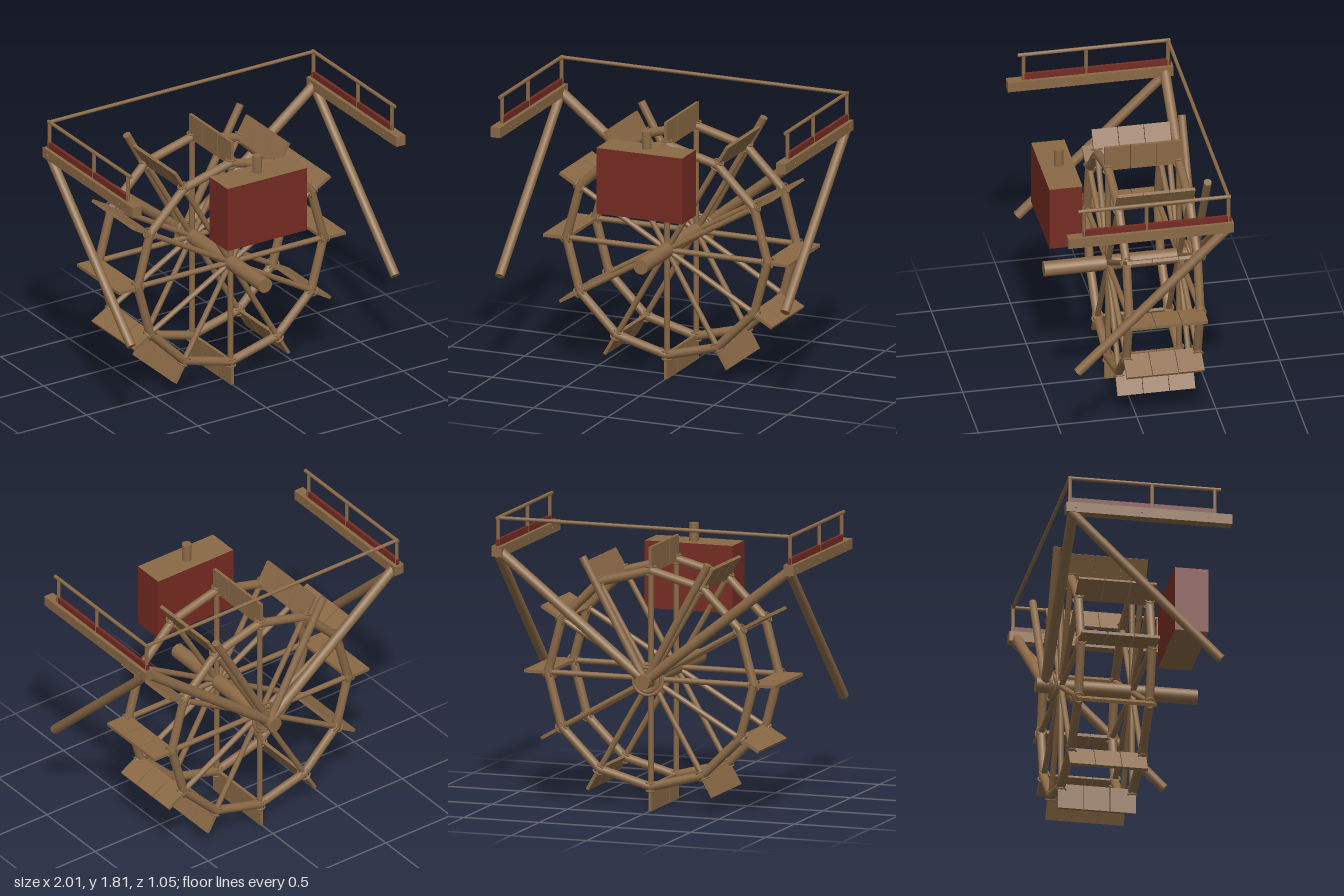
import * as THREE from 'three';

const wood = new THREE.MeshStandardMaterial({ color: 0x8a6946 });
wood.name = 'wood';
const red = new THREE.MeshStandardMaterial({ color: 0x752b22 });
red.name = 'redPaint';

const V = (x, y, z) => new THREE.Vector3(x, y, z);

function add(parent, name, geometry, material = wood) {
  const mesh = new THREE.Mesh(geometry, material);
  mesh.name = name;
  parent.add(mesh);
  return mesh;
}

// round pole between two points
function pole(parent, name, a, b, radius, sides = 12) {
  const mesh = add(parent, name, new THREE.CylinderGeometry(radius, radius, a.distanceTo(b), sides));
  mesh.position.copy(a).add(b).multiplyScalar(0.5);
  mesh.quaternion.setFromUnitVectors(V(0, 1, 0), b.clone().sub(a).normalize());
  return mesh;
}

function box(parent, name, size, pos, material = wood) {
  const mesh = add(parent, name, new THREE.BoxGeometry(...size), material);
  mesh.position.set(...pos);
  return mesh;
}

const HUB_Y = 0.833;
const RIM_R = 0.68;
const RIM_Z = [0.083, -0.365];

function makeWheel() {
  const wheel = new THREE.Group();
  wheel.name = 'waterWheel';
  wheel.position.y = HUB_Y;
  const step = Math.PI / 6;
  const at = (i, r, z) => V(Math.cos(i * step) * r, Math.sin(i * step) * r, z);

  for (let i = 0; i < 12; i++) {
    // two rims, each with spokes and lashed joints
    for (const z of RIM_Z) {
      pole(wheel, 'rim', at(i, RIM_R, z), at(i + 1, RIM_R, z), 0.028);
      pole(wheel, 'spoke', at(i, 0, z), at(i, 0.69, z), 0.018, 10);
      for (const r of [0.655, 0.705]) {
        const knot = add(wheel, 'lashing', new THREE.TorusGeometry(0.03, 0.006, 6, 14));
        knot.position.copy(at(i, r, z));
        knot.quaternion.setFromUnitVectors(V(0, 0, 1), at(i, 1, 0));
      }
    }
    // paddle of three planks
    const paddle = new THREE.Group();
    paddle.name = 'paddle';
    paddle.rotation.z = i * step;
    for (let k = 0; k < 3; k++) {
      box(paddle, 'paddlePlank', [0.163, 0.02, 0.161], [0.7485, 0, 0.025 - k * 0.165]);
    }
    wheel.add(paddle);
  }

  // axle
  pole(wheel, 'axle', V(0, 0, 0.49), V(0, 0, -0.525), 0.048, 20);
  return wheel;
}

function makeBackFrame() {
  const frame = new THREE.Group();
  frame.name = 'backFrame';
  const z = -0.465;
  for (const s of [-1, 1]) {
    pole(frame, 'mainBeam', V(0, HUB_Y, z), V(s * 0.96, 1.59, z), 0.033);
    pole(frame, 'shortBeam', V(0, HUB_Y, z), V(s * 0.415, 1.59, z), 0.025);
  }
  // rope wrapped round the crossing of the beams
  for (let i = 0; i < 4; i++) {
    const rope = add(frame, 'hubRope', new THREE.TorusGeometry(0.062 + i * 0.011, 0.009, 8, 24));
    rope.position.set(0, HUB_Y, -0.435 + i * 0.006);
    rope.rotation.set(i % 2 ? 0.12 : -0.12, i > 1 ? 0.1 : -0.1, 0);
  }
  return frame;
}

function makeDeck(s) {
  const deck = new THREE.Group();
  deck.name = s > 0 ? 'leftDeck' : 'rightDeck';
  const x = s * 0.965;
  box(deck, 'deckBeam', [0.066, 0.066, 1.045], [x, 1.597, 0.007]);
  box(deck, 'redBoard', [0.02, 0.04, 0.935], [x, 1.65, -0.035], red);
  // railing
  for (const z of [0.425, 0.03, -0.487]) {
    pole(deck, 'railPost', V(x, 1.62, z), V(x, 1.805, z), 0.012, 10);
  }
  pole(deck, 'sideRail', V(x, 1.805, 0.462), V(x, 1.805, -0.5), 0.012, 10);
  // pegs through the beam
  for (const z of [0.38, -0.04, -0.457]) {
    pole(deck, 'peg', V(x - 0.04, 1.597, z), V(x + 0.04, 1.597, z), 0.007, 8);
  }
  // slanted brace
  pole(deck, 'brace', V(x, 1.58, -0.485), V(x, 0.65, 0.465), 0.03);
  return deck;
}

function makeTank() {
  const tank = new THREE.Group();
  tank.name = 'tank';
  // red sides, wooden top and bottom
  box(tank, 'tankBody', [0.58, 0.425, 0.21], [0, 1.362, 0.405], [red, red, wood, wood, red, red]);
  pole(tank, 'tankPipe', V(0, 1.56, 0.395), V(0, 1.688, 0.395), 0.03, 16);
  return tank;
}

export function createModel() {
  const model = new THREE.Group();
  model.name = 'waterWheelStand';
  model.add(makeWheel(), makeBackFrame(), makeDeck(1), makeDeck(-1), makeTank());
  pole(model, 'crossRail', V(-0.972, 1.805, -0.487), V(0.972, 1.805, -0.487), 0.012, 10);
  return model;
}
